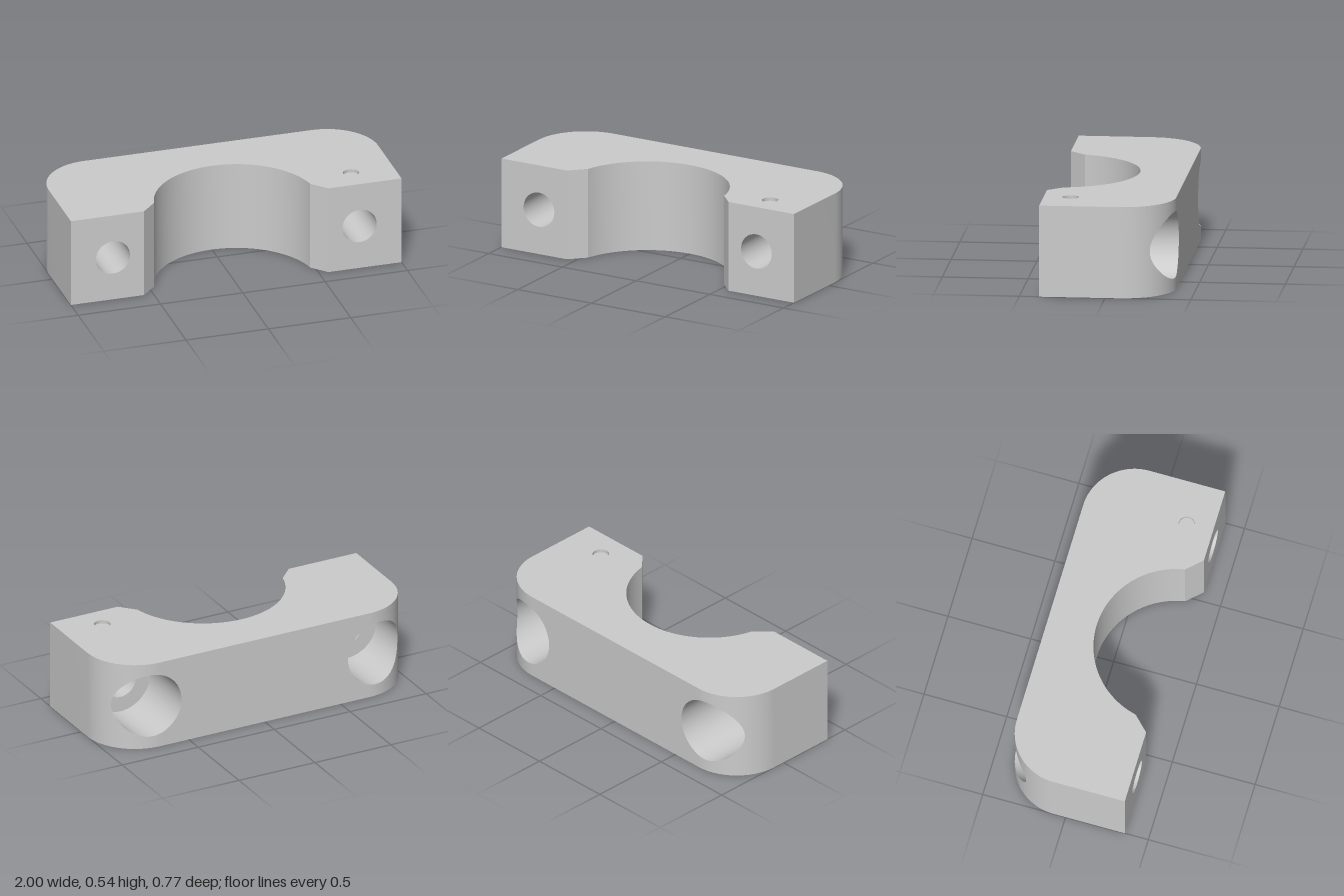
import * as THREE from 'three';
import { mergeGeometries, toCreasedNormals } from 'three/addons/utils/BufferGeometryUtils.js';
import { ParametricGeometry } from 'three/addons/geometries/ParametricGeometry.js';

const H = 0.54, MID = H / 2;                    // block height, bolt axis height
const BACK = -0.384;                            // rear face
const CORNER = { x: 0.69, z: -0.074, r: 0.31 }; // rounded rear corners
const SADDLE = { z: 0.378, r: 0.48 };           // half-round bearing seat
const BOLT = { x: 0.745, r: 0.104, R: 0.197, seat: 0 };
const PIN = { x: 0.742, z: 0.226, r: 0.048, depth: 0.02 };
const footZ = s => (s > 0 ? 0.384 : 0.358);     // one foot is slightly shorter

// Depth of the rear surface at a given x, including the rounded corners
function rearZ(x) {
  const d = Math.max(0, Math.abs(x) - CORNER.x);
  return CORNER.z - Math.sqrt(Math.max(0, CORNER.r ** 2 - d * d));
}

function patch(fn, nu, nv = 1) {
  return new ParametricGeometry((u, v, t) => t.set(...fn(u, v)), nu, nv);
}

// Upright wall over a plan path of [x, z] points
function ribbon(pts) {
  const n = pts.length - 1;
  return patch((u, v) => {
    const [x, z] = pts[Math.round(u * n)];
    return [x, v * H, z];
  }, n);
}

// Points on an arc; angle is measured from -z towards +x
function arc(c, from, to, n) {
  return Array.from({ length: n + 1 }, (_, i) => {
    const a = from + (to - from) * i / n;
    return [(c.x || 0) + c.r * Math.sin(a), c.z - c.r * Math.cos(a)];
  });
}

const mirrorPath = pts => pts.map(([x, z]) => [-x, z]).reverse();

function circlePath(x, y, r, n) {
  return new THREE.Path(Array.from({ length: n }, (_, i) => {
    const a = i / n * Math.PI * 2;
    return new THREE.Vector2(x + r * Math.cos(a), y + r * Math.sin(a));
  }));
}

function flat(pts, hole) {
  const shape = new THREE.Shape(pts.map(p => new THREE.Vector2(...p)));
  if (hole) shape.holes.push(hole);
  return new THREE.ShapeGeometry(shape);
}

function makeMesh(name, parts) {
  const merged = mergeGeometries(parts.map(g => g.toNonIndexed()));
  merged.scale(100, 100, 100);
  const geometry = toCreasedNormals(merged, 0.4);
  geometry.scale(0.01, 0.01, 0.01);
  const mesh = new THREE.Mesh(geometry, new THREE.MeshStandardMaterial({ color: 0xcccccc }));
  mesh.name = name;
  return mesh;
}

// Saddle with its 45 degree lead-in chamfers, left to right along the front
function saddlePath() {
  const a0 = -Math.acos(0.11 / SADDLE.r), a1 = Math.acos(0.083 / SADDLE.r);
  return [[-0.556, footZ(-1)], ...arc(SADDLE, a0, a1, 64), [0.556, footZ(1)]];
}

function createBody() {
  const parts = [];
  const saddle = saddlePath();
  const corner = arc(CORNER, Math.PI / 2, 0, 32);

  // Top and bottom faces
  const plan = [[1, footZ(1)], ...corner, ...mirrorPath(corner), [-1, footZ(-1)], ...saddle];
  parts.push(
    flat(plan.map(([x, z]) => [x, -z]), circlePath(PIN.x, -PIN.z, PIN.r, 32))
      .rotateX(-Math.PI / 2).translate(0, H, 0),
    flat(plan).rotateX(Math.PI / 2)
  );

  // Saddle wall and the flat rear wall between the counterbores
  const inner = BOLT.x - BOLT.R;
  parts.push(ribbon(saddle), ribbon([[inner, BACK], [-inner, BACK]]));

  // End walls running round the corners up to the counterbores
  const edge = Math.asin((BOLT.x + BOLT.R - CORNER.x) / CORNER.r);
  const bend = arc(CORNER, Math.PI / 2, edge, 16);
  parts.push(ribbon([[1, footZ(1)], ...bend]));
  parts.push(ribbon(mirrorPath([[1, footZ(-1)], ...bend])));

  for (const s of [1, -1]) {
    // Rear wall below and above each counterbore
    for (const upper of [false, true]) {
      parts.push(patch((u, v) => {
        const a = Math.PI * (s > 0 ? u : 1 - u);
        const x = BOLT.x + BOLT.R * Math.cos(a);
        const h = BOLT.R * Math.sin(a);
        const y = upper ? MID + h + v * (H - MID - h) : v * (MID - h);
        return [s * x, y, rearZ(x)];
      }, 32));
    }
    // Foot face with its bolt hole
    const a = s * 0.556;
    parts.push(flat([[a, 0], [s, 0], [s, H], [a, H]], circlePath(s * BOLT.x, MID, BOLT.r, 64))
      .translate(0, 0, footZ(s)));
  }
  return makeMesh('capBody', parts);
}

// Inward-facing tube along z
function boreWall(cx, r, zStart, zEnd) {
  return patch((u, v) => {
    const a = u * Math.PI * 2;
    const x = cx + r * Math.cos(a);
    return [x, MID + r * Math.sin(a), zStart + (zEnd(x) - zStart) * v];
  }, 64);
}

function createBoltHole(s) {
  const cx = s * BOLT.x;
  return makeMesh(s > 0 ? 'leftBoltHole' : 'rightBoltHole', [
    boreWall(cx, BOLT.r, footZ(s), () => BOLT.seat),
    boreWall(cx, BOLT.R, BOLT.seat, rearZ),
    new THREE.RingGeometry(BOLT.r, BOLT.R, 64).rotateY(Math.PI).translate(cx, MID, BOLT.seat)
  ]);
}

// Shallow round dimple in the top of one foot
function createPinRecess() {
  const floor = H - PIN.depth;
  return makeMesh('pinRecess', [
    patch((u, v) => {
      const a = u * Math.PI * 2;
      return [PIN.x + PIN.r * Math.cos(a), floor + v * PIN.depth, PIN.z + PIN.r * Math.sin(a)];
    }, 32),
    new THREE.CircleGeometry(PIN.r, 32).rotateX(-Math.PI / 2).translate(PIN.x, floor, PIN.z)
  ]);
}

export function createModel() {
  const group = new THREE.Group();
  group.name = 'bearingCap';
  group.add(createBody(), createBoltHole(1), createBoltHole(-1), createPinRecess());
  return group;
}
